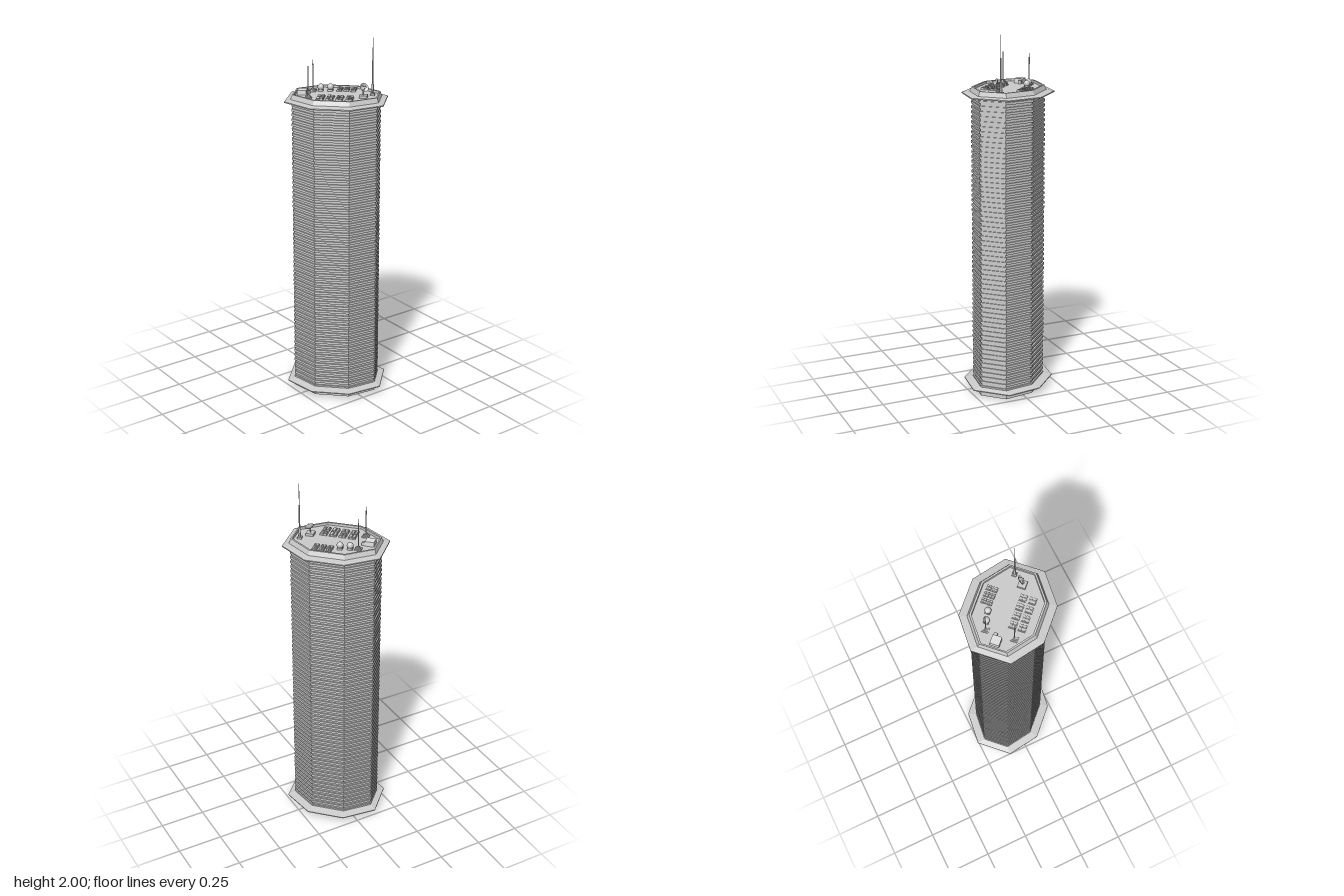
import * as THREE from 'three';

const concrete = new THREE.MeshStandardMaterial({ color: 0xcccccc, name: 'concrete grey' });
const pale = new THREE.MeshStandardMaterial({ color: 0xe2e2e2, name: 'pale grey' });
const dishMat = new THREE.MeshStandardMaterial({ color: 0xcccccc, name: 'dish grey', side: THREE.DoubleSide });

// Half of the stretched octagon (x, z); the other half is its point mirror
const WALL = [[0.109, 0.215], [-0.058, 0.192], [-0.192, 0.058], [-0.215, -0.109]];
const RIM = [[0.111, 0.26], [-0.085, 0.233], [-0.233, 0.085], [-0.26, -0.111]];

// Octagon at height y: t = 0 is the wall line, t = 1 the canopy rim, t < 0 is inset
function ring(t, y) {
  const half = WALL.map(([x, z], i) => [x + (RIM[i][0] - x) * t, z + (RIM[i][1] - z) * t]);
  return [...half, ...half.map(([x, z]) => [-x, -z])].map(([x, z]) => new THREE.Vector3(x, y, z));
}

// Flat-sided skin through a profile of [t, y] levels, with optional end caps
function loft(name, profile, capBottom, capTop) {
  const rings = profile.map(([t, y]) => ring(t, y));
  const pts = [];
  for (let k = 0; k + 1 < rings.length; k++) {
    const lo = rings[k], hi = rings[k + 1];
    for (let i = 0; i < 8; i++) {
      const j = (i + 1) % 8;
      pts.push(lo[j], lo[i], hi[i], lo[j], hi[i], hi[j]);
    }
  }
  const cap = (r, up) => {
    const c = new THREE.Vector3(0, r[0].y, 0);
    for (let i = 0; i < 8; i++) {
      const j = (i + 1) % 8;
      if (up) pts.push(c, r[j], r[i]);
      else pts.push(c, r[i], r[j]);
    }
  };
  if (capBottom) cap(rings[0], false);
  if (capTop) cap(rings[rings.length - 1], true);
  const geo = new THREE.BufferGeometry().setFromPoints(pts);
  geo.computeVertexNormals();
  const mesh = new THREE.Mesh(geo, concrete);
  mesh.name = name;
  return mesh;
}

const ROOF = 1.692;

function add(parent, name, geo, x, y, z, mat = concrete) {
  const m = new THREE.Mesh(geo, mat);
  m.name = name;
  m.position.set(x, y, z);
  parent.add(m);
  return m;
}

// Box standing on height y, within a group
function block(parent, name, w, h, d, x, y, z, mat) {
  return add(parent, name, new THREE.BoxGeometry(w, h, d), x, y + h / 2, z, mat);
}

function pole(parent, name, r, y0, y1, x = 0, z = 0) {
  return add(parent, name, new THREE.CylinderGeometry(r, r, y1 - y0, 8), x, (y0 + y1) / 2, z);
}

// Roof equipment is set diagonally
function spot(parent, name, x, z) {
  const g = new THREE.Group();
  g.name = name;
  g.position.set(x, ROOF, z);
  g.rotation.y = Math.PI / 4;
  parent.add(g);
  return g;
}

export function createModel() {
  const model = new THREE.Group();
  model.name = 'tower';

  // Base with its street canopy
  model.add(loft('base', [[0, 0], [0, 0.035], [1, 0.036], [1, 0.041], [0, 0.05], [-0.2, 0.05]], true, false));

  // Facade: projecting floor bands over recessed window bands
  const facade = [];
  const floors = 60, y0 = 0.045, pitch = (1.67 - y0) / floors;
  for (let f = 0; f < floors; f++) {
    const y = y0 + f * pitch;
    facade.push([0, y], [0, y + pitch * 0.5], [-0.17, y + pitch * 0.5], [-0.17, y + pitch]);
  }
  model.add(loft('facade', facade, false, false));

  // Roof canopy, sloping parapet and roof deck
  model.add(loft('roofCanopy', [[-0.2, 1.668], [1, 1.668], [1, 1.674], [0.13, 1.68],
    [-0.1, 1.705], [-0.32, 1.705], [-0.34, ROOF]], false, true));

  // Cooling units: four caps on a plinth
  const cooler = (x, z, s) => {
    const g = spot(model, 'coolingUnit', x, z);
    block(g, 'plinth', s, 0.006, s, 0, 0, 0);
    for (const sx of [-1, 1]) for (const sz of [-1, 1])
      block(g, 'coolerCap', s * 0.4, 0.005, s * 0.4, sx * s * 0.24, 0.006, sz * s * 0.24);
  };
  for (let i = 0; i < 4; i++) {
    cooler(-0.088 + i * 0.036, -0.016 + i * 0.0365, 0.038);
    cooler(-0.123 + i * 0.036, 0.019 + i * 0.0365, 0.038);
  }
  for (let i = 0; i < 3; i++) {
    cooler(0.093 + i * 0.026, -0.089 + i * 0.027, 0.027);
    cooler(0.07 + i * 0.026, -0.067 + i * 0.027, 0.027);
  }

  // Radomes
  for (const [x, z] of [[-0.012, -0.125], [0.031, -0.096]]) {
    const g = spot(model, 'radome', x, z);
    block(g, 'radomeBase', 0.027, 0.01, 0.027, 0, 0, 0);
    add(g, 'radomeBall', new THREE.SphereGeometry(0.0175, 20, 14), 0, 0.022, 0);
  }

  // Stepped mast footings with slim masts
  for (const [x, z] of [[-0.048, -0.147], [-0.155, -0.04]]) {
    const g = spot(model, 'slimMast', x, z);
    [0.036, 0.024, 0.012].forEach((s, i) => block(g, 'footing', s, 0.006, s, 0, i * 0.006, 0));
    pole(g, 'mastLower', 0.003, 0.015, 0.15);
    pole(g, 'mastUpper', 0.0016, 0.15, 0.172);
  }

  // Stair house
  const house = spot(model, 'stairHouse', -0.13, -0.13);
  block(house, 'houseBlock', 0.049, 0.026, 0.049, 0, 0, 0, pale);
  block(house, 'housePorch', 0.018, 0.018, 0.016, 0.013, 0, 0.033, concrete);

  // Main antenna
  const main = spot(model, 'mainAntenna', 0.155, 0.112);
  block(main, 'antennaPlate', 0.024, 0.01, 0.024, 0, 0, 0);
  pole(main, 'antennaFoot', 0.006, 0, 0.06);
  pole(main, 'antennaLower', 0.004, 0, 0.188);
  pole(main, 'antennaUpper', 0.0017, 0.188, 2 - ROOF);
  for (const s of [-1, 1]) pole(main, 'antennaStub', 0.002, 0, 0.03, s * 0.008, 0);

  // Satellite dish
  const sat = spot(model, 'satelliteDish', 0.086, 0.122);
  block(sat, 'dishBase', 0.042, 0.014, 0.042, 0, 0, 0);
  pole(sat, 'dishPost', 0.004, 0.014, 0.042);
  const head = new THREE.Group();
  head.name = 'dishHead';
  head.position.set(0.095, ROOF + 0.047, 0.112);
  head.quaternion.setFromUnitVectors(new THREE.Vector3(0, 1, 0), new THREE.Vector3(-0.1, 0.55, 0.83).normalize());
  model.add(head);
  const bowl = [];
  for (let i = 0; i <= 6; i++) bowl.push(new THREE.Vector2(0.025 * i / 6, 0.013 * (i / 6) ** 2 - 0.004));
  add(head, 'dishBowl', new THREE.LatheGeometry(bowl, 24), 0, 0, 0, dishMat);
  for (let i = 0; i < 3; i++) {
    const a = i * Math.PI * 2 / 3;
    const strut = new THREE.LineCurve3(
      new THREE.Vector3(Math.cos(a) * 0.018, 0.003, Math.sin(a) * 0.018), new THREE.Vector3(0, 0.022, 0));
    add(head, 'feedStrut', new THREE.TubeGeometry(strut, 1, 0.0008, 5), 0, 0, 0);
  }
  add(head, 'dishFeed', new THREE.SphereGeometry(0.003, 10, 8), 0, 0.022, 0);

  return model;
}
